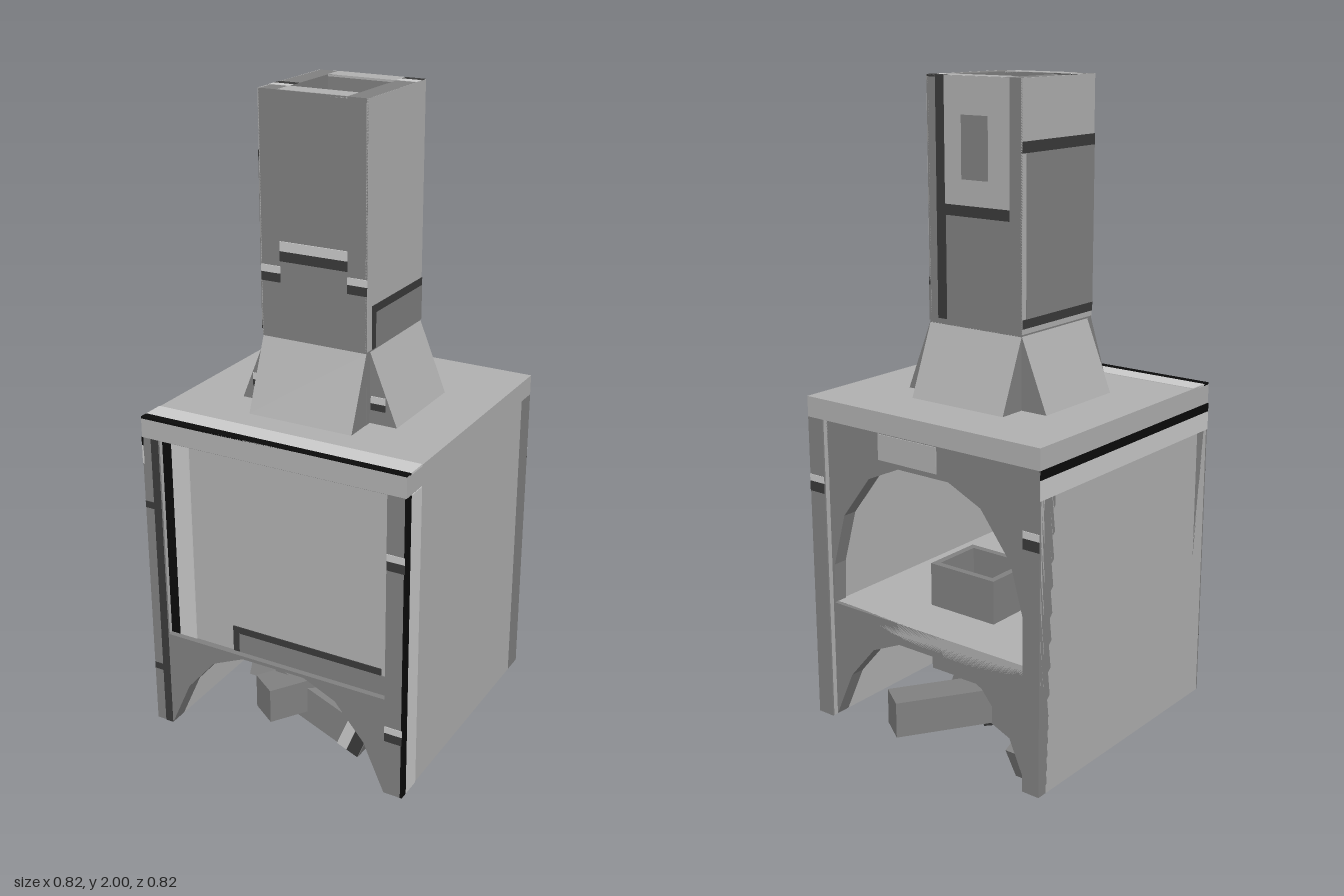
import * as THREE from 'three';

const mat = (name, color) => {
  const m = new THREE.MeshStandardMaterial({ color });
  m.name = name;
  return m;
};

export function createModel() {
  const root = new THREE.Group();
  root.name = 'stove';
  const light = mat('lightStone', 0xb0b0b0);
  const mid = mat('midStone', 0x808080);
  const dark = mat('darkMortar', 0x3a3a3a);
  const black = mat('blackEdge', 0x0a0a0a);
  const pale = mat('paleEdge', 0xcacaca);

  const add = (name, geo, m) => {
    const mesh = new THREE.Mesh(geo, m);
    mesh.name = name;
    root.add(mesh);
    return mesh;
  };
  // Box given by its limits on each axis
  const slab = (name, m, x0, x1, y0, y1, z0, z1) => {
    const mesh = add(name, new THREE.BoxGeometry(x1 - x0, y1 - y0, z1 - z0), m);
    mesh.position.set((x0 + x1) / 2, (y0 + y1) / 2, (z0 + z1) / 2);
    return mesh;
  };
  // Thin painted plates on faces looking along z, x or y
  const T = 0.003;
  const plateZ = (n, m, x0, x1, y0, y1, z) => slab(n, m, x0, x1, y0, y1, z - T, z + T);
  const plateX = (n, m, z0, z1, y0, y1, x) => slab(n, m, x - T, x + T, y0, y1, z0, z1);
  const plateY = (n, m, x0, x1, z0, z1, y) => slab(n, m, x0, x1, y - T, y + T, z0, z1);

  // Firebox walls, roof and shelf
  const W = 0.41;
  for (const s of [-1, 1]) {
    slab('sideWall', light, Math.min(s * W, s * 0.355), Math.max(s * W, s * 0.355), 0.14, 1.06, -0.405, 0.405);
  }
  slab('roof', light, -W, W, 1.06, 1.12, -W, W);
  slab('shelf', light, -0.355, 0.355, 0.445, 0.5, -0.39, 0.38);
  plateY('roofBlackEdge', black, -W, W, 0.385, W, 1.119);
  plateY('roofPaleEdge', pale, -W, W, 0.322, 0.385, 1.119);
  plateX('wallBlackEdge', black, 0.385, W, 0.14, 1.06, 0.409);
  plateX('wallPaleEdge', pale, 0.325, 0.385, 0.14, 1.06, 0.409);
  plateX('wallBlackBand', black, -W, W, 1.035, 1.06, -0.409);
  plateX('wallPaleBand', pale, -W, W, 0.98, 1.035, -0.409);

  // Arched fronts: right half of each profile, mirrored
  const lowArch = [[0.355, 0.14], [0.29, 0.285], [0.2, 0.39], [0.1, 0.435]];
  const highArch = [[0.35, 0.5], [0.345, 0.62], [0.3, 0.78], [0.2, 0.91], [0.09, 0.96]];
  const mirror = (half) => [...half, ...half.slice().reverse().map(([x, y]) => [-x, y])];
  const vec = (pts) => pts.map(([x, y]) => new THREE.Vector2(x, y));
  const archWall = (name, top, z, depth, holes) => {
    const shape = new THREE.Shape(vec([[W, 0.14], [W, top], [-W, top], [-W, 0.14], ...mirror(lowArch).reverse()]));
    for (const h of holes) shape.holes.push(new THREE.Path(vec(mirror(h))));
    const geo = new THREE.ExtrudeGeometry(shape, { depth, bevelEnabled: false });
    geo.translate(0, 0, z);
    add(name, geo, mid);
  };
  const doorway = [[0.355, 0.445], [0.355, 1.06]];
  archWall('frontFrame', 1.0605, 0.355, 0.055, [[doorway[0], [0.355, 1.0595]]]);
  archWall('backWall', 1.06, -0.39, 0.045, [highArch]);

  // Raised rim round the back wall
  for (const s of [-1, 1]) {
    slab('backRim', mid, s * 0.3825 - 0.0275, s * 0.3825 + 0.0275, 0.14, 1.06, -W, -0.385);
    plateZ('backRimPaleTick', pale, s * 0.3825 - 0.027, s * 0.3825 + 0.027, 0.87, 0.89, -0.409);
    plateZ('backRimDarkTick', dark, s * 0.3825 - 0.027, s * 0.3825 + 0.027, 0.84, 0.87, -0.409);
  }
  plateZ('backLightPatch', light, -0.05, 0.16, 0.975, 1.05, -0.39);

  // Closed front panel with its edge lines
  slab('frontPanel', light, -0.355, 0.355, 0.445, 1.06, 0.36, 0.39);
  plateZ('panelBlackEdge', black, -0.355, -0.325, 0.445, 1.06, 0.39);
  plateZ('panelPaleEdge', pale, -0.325, -0.268, 0.445, 1.06, 0.39);
  plateZ('panelFoot', mid, -0.12, 0.355, 0.445, 0.505, 0.39);
  plateZ('panelFootLine', dark, -0.14, 0.335, 0.505, 0.525, 0.39);
  plateZ('panelFootEnd', dark, -0.14, -0.12, 0.445, 0.505, 0.39);
  plateZ('frameDarkLine', dark, -0.38, -0.356, 0.14, 1.06, 0.409);
  for (const y of [0.865, 0.335]) {
    plateZ('framePaleTick', pale, 0.356, 0.409, y + 0.005, y + 0.025, 0.409);
    plateZ('frameDarkTick', dark, 0.356, 0.409, y - 0.022, y + 0.005, 0.409);
    plateZ('frameDarkTick', dark, -0.409, -0.38, y - 0.02, y, 0.409);
  }

  // Hollow ash box set through the shelf
  const ax = 0.115, az0 = -0.23, az1 = -0.04, at = 0.02;
  slab('ashBoxBase', mid, -ax, ax, 0.3, 0.52, az0, az1);
  for (const s of [-1, 1]) slab('ashBoxSide', mid, s * (ax - 0.01) - 0.01, s * (ax - 0.01) + 0.01, 0.52, 0.63, az0, az1);
  slab('ashBoxBack', mid, -ax + at, ax - at, 0.52, 0.63, az0, az0 + at);
  slab('ashBoxFront', mid, -ax + at, ax - at, 0.52, 0.63, az1 - at, az1);

  // Hollow square chimney
  const C = 0.162, I = 0.103;
  slab('chimneyFront', mid, -I, I, 1.12, 2, I, C);
  slab('chimneyBack', mid, -I, I, 1.12, 2, -C, -I);
  for (const s of [-1, 1]) {
    const m = s * (C + I) / 2, h = (C - I) / 2;
    slab('chimneySide', mid, m - h, m + h, 1.12, 2, -C, C);
    plateX('chimneySidePanel', light, -C, C, 1.33, 2, s * (C - 0.002));
    plateY('chimneyRimPanel', light, -I, I, m - h, m + h, 1.998);
    // Lines near the corners of the rim and front
    const cx0 = Math.min(s * I, s * C), cx1 = Math.max(s * I, s * C);
    plateY('rimDarkTick', dark, cx0, cx1, s > 0 ? -C : 0.053, s > 0 ? -0.137 : 0.08, 1.998);
    plateY('rimPaleTick', pale, cx0, cx1, s > 0 ? -0.137 : 0.08, s > 0 ? -0.107 : 0.105, 1.998);
    plateZ('cornerPaleTick', pale, cx0, cx1, 1.51, 1.53, C);
    plateZ('cornerDarkTick', dark, cx0, cx1, 1.485, 1.51, C);
  }
  slab('flueFloor', mid, -I, I, 1.13, 1.3, -I, I);
  plateY('flueDarkLine', dark, -I, I, 0, 0.025, 1.3);
  plateY('fluePaleLine', pale, -I, I, 0.025, 0.055, 1.3);
  plateZ('frontPaleLine', pale, -I, I, 1.573, 1.6, C);
  plateZ('frontDarkLine', dark, -I, I, 1.545, 1.573, C);
  plateX('rightPatch', mid, -C, 0.115, 1.33, 1.43, C);
  plateX('rightPatchLine', dark, -C, 0.135, 1.43, 1.452, C);
  plateX('rightPatchEnd', dark, 0.115, 0.135, 1.33, 1.43, C);
  plateX('leftPatch', mid, -0.145, C, 1.37, 1.81, -C);
  plateX('leftPatchLine', dark, -C, C, 1.81, 1.84, -C);
  plateX('leftPatchFoot', dark, -C, C, 1.345, 1.37, -C);
  plateZ('backPanel', light, -0.12, 0.1, 1.66, 2, -C);
  plateZ('backPanelBlot', mid, -0.05, 0.04, 1.73, 1.9, -C - 0.002);
  plateZ('backPanelFoot', dark, -0.12, 0.1, 1.63, 1.66, -C);
  plateZ('backPanelLine', dark, 0.1, 0.13, 1.34, 2, -C);

  // Four flared skirts round the chimney foot
  const wedge = new THREE.Shape(vec([[0, 1.12], [0.245, 1.12], [C, 1.325], [0, 1.325]]));
  for (let i = 0; i < 4; i++) {
    const side = i % 2 === 0;
    const len = side ? 0.305 : 0.322;
    const geo = new THREE.ExtrudeGeometry(wedge, { depth: len, bevelEnabled: false });
    geo.translate(0, 0, -len / 2);
    geo.rotateY(i * Math.PI / 2);
    if (side) geo.translate(0, 0, -0.01);
    add('chimneySkirt', geo, [mid, light]);
  }
  for (const s of [-1, 1]) {
    plateZ('skirtPaleTick', pale, s * 0.188 - 0.022, s * 0.188 + 0.022, 1.18, 1.2, 0.142);
    plateZ('skirtDarkTick', dark, s * 0.188 - 0.022, s * 0.188 + 0.022, 1.16, 1.18, 0.142);
  }

  // Loose pile of square logs under the firebox
  const log = (size, pos, rot) => {
    const mesh = add('log', new THREE.BoxGeometry(...size), mid);
    mesh.position.set(...pos);
    mesh.rotation.set(...rot);
    return mesh;
  };
  log([0.64, 0.11, 0.1], [0.015, 0.165, -0.06], [0, 0.98, 0]);
  log([0.115, 0.115, 0.32], [-0.222, 0.142, -0.07], [-0.44, 0, 0]);
  const falling = log([0.35, 0.11, 0.11], [-0.017, 0.12, 0.075], [0, 0, -0.385]);
  log([0.35, 0.11, 0.11], [-0.027, 0.16, -0.055], [0, 0, 0.385]);
  // Painted ring near the end of the falling log
  const ring = new THREE.Mesh(new THREE.BoxGeometry(0.035, 0.114, 0.114), pale);
  ring.name = 'logPaleBand';
  ring.position.x = 0.115;
  const ring2 = new THREE.Mesh(new THREE.BoxGeometry(0.04, 0.114, 0.114), dark);
  ring2.name = 'logDarkBand';
  ring2.position.x = 0.153;
  falling.add(ring, ring2);

  return root;
}
